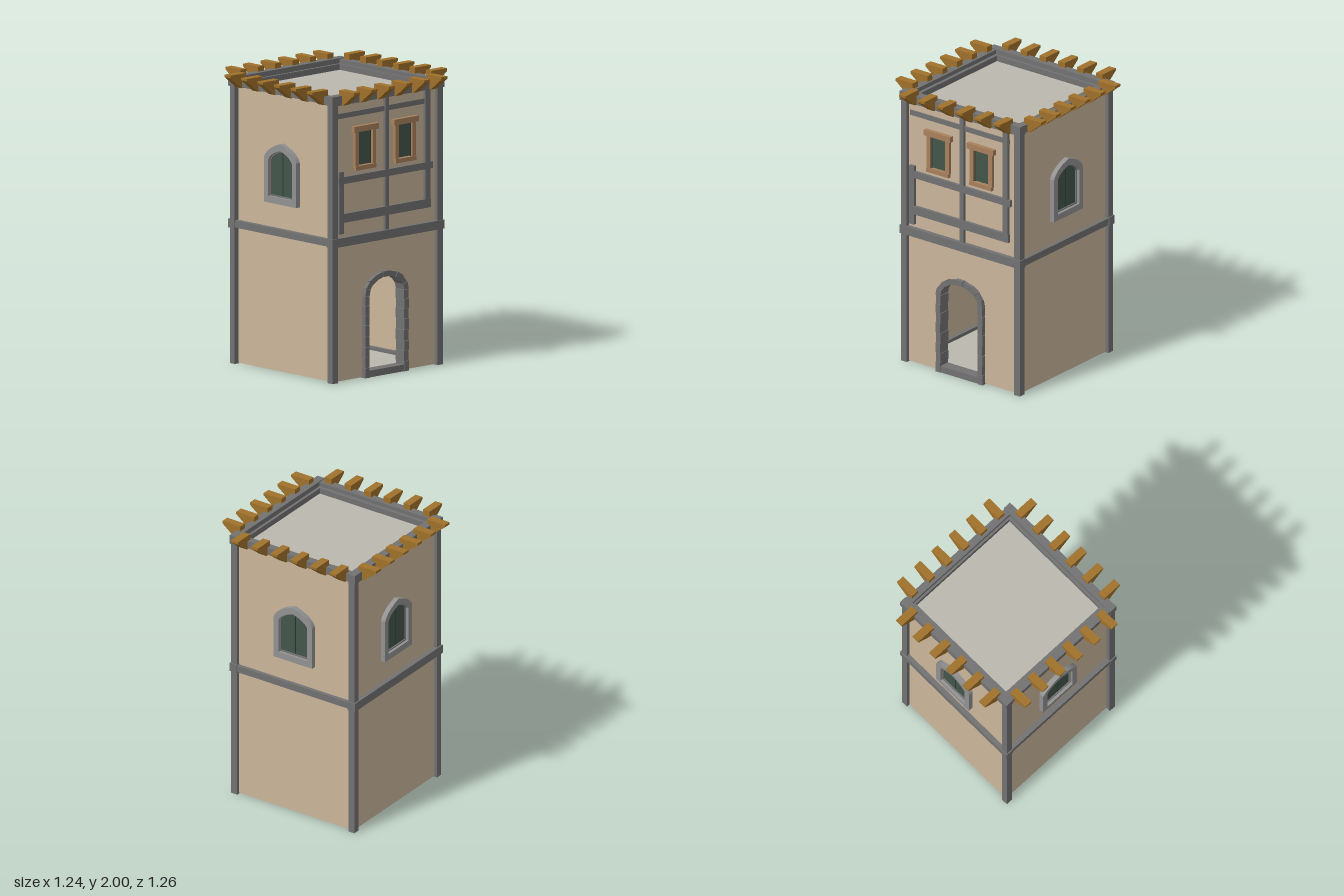
import * as THREE from 'three';

const mat = (name, color) => new THREE.MeshStandardMaterial({ name, color });

export function createModel() {
  const plaster = mat('plaster', 0xcbb69b);
  const timber = mat('grey timber', 0x727272);
  const stone = mat('window stone', 0x929292);
  const oak = mat('oak corbel', 0xa0712b);
  const wood = mat('window wood', 0xa9815c);
  const glass = mat('green shutter', 0x43564b);
  const seam = mat('dark seam', 0x2c3a33);
  const floorMat = mat('floor', 0xbbb8af);

  const tower = new THREE.Group();
  tower.name = 'tower';

  function add(parent, name, geometry, material) {
    const m = new THREE.Mesh(geometry, material);
    m.name = name;
    parent.add(m);
    return m;
  }
  // box given by its limits
  function box(name, material, x0, x1, y0, y1, z0, z1, parent = tower) {
    const g = new THREE.BoxGeometry(x1 - x0, y1 - y0, z1 - z0);
    g.translate((x0 + x1) / 2, (y0 + y1) / 2, (z0 + z1) / 2);
    return add(parent, name, g, material);
  }
  const group = (name, parent = tower) => {
    const g = new THREE.Group();
    g.name = name;
    parent.add(g);
    return g;
  };
  const extrude = (shape, depth, z) => {
    const g = new THREE.ExtrudeGeometry(shape, { depth, bevelEnabled: false, curveSegments: 8 });
    return g.translate(0, 0, z);
  };

  // --- walls, with an arched doorway through the front ---
  const doorX = -0.015, spring = 0.56;
  const OUT = 0.48, IN = 0.44;
  const front = new THREE.Shape();
  front.moveTo(-OUT, 0.005);
  front.lineTo(doorX - 0.18, 0.005);
  front.lineTo(doorX - 0.18, spring);
  front.absellipse(doorX, spring, 0.18, 0.135, Math.PI, 0, true);
  front.lineTo(doorX + 0.18, 0.005);
  front.lineTo(OUT, 0.005);
  front.lineTo(OUT, 1.92);
  front.lineTo(-OUT, 1.92);
  add(tower, 'frontWall', extrude(front, OUT - IN, IN), plaster);
  box('backWall', plaster, -OUT, OUT, 0.005, 1.92, -OUT, -IN);
  box('leftWall', plaster, IN, OUT, 0.005, 1.92, -IN, IN);
  box('rightWall', plaster, -OUT, -IN, 0.005, 1.92, -IN, IN);

  // --- floors and roof deck ---
  box('floorBase', plaster, -IN, IN, 0.005, 0.015, -IN, IN);
  box('groundFloor', floorMat, -IN, IN, 0.015, 0.022, -IN, IN);
  box('upperFloor', plaster, -IN, IN, 0.94, 0.97, -IN, IN);
  box('roofDeck', floorMat, -IN, IN, 1.87, 1.89, -IN, IN);

  // --- corner posts ---
  for (const [x0, x1] of [[-0.513, -0.465], [0.455, 0.503]])
    for (const [z0, z1] of [[-0.503, -0.455], [0.457, 0.506]])
      box('cornerPost', timber, x0, x1, 0, 1.93, z0, z1);

  // --- horizontal beam rings: belt, roof rim ---
  for (const [name, y0, y1] of [['beltBeam', 0.93, 0.99], ['rimBeam', 1.9, 1.965]]) {
    for (const s of [-1, 1]) {
      const z = s > 0 ? [0.455, 0.513] : [-0.513, -0.455];
      box(name, timber, -0.521, 0.511, y0, y1, ...z);
      const x = s > 0 ? [0.452, 0.506] : [-0.516, -0.46];
      box(name, timber, ...x, y0 + 0.006, y1 - 0.006, -0.455, 0.455);
    }
  }
  // inner ledge around the deck and sill beams round the ground floor
  for (const [name, a, b, y0, y1] of [
    ['rimLedge', 0.436, 0.462, 1.885, 1.93], ['baseBeam', 0.41, 0.455, 0, 0.045]]) {
    for (const s of [-1, 1]) {
      const lo = s > 0 ? a : -b, hi = s > 0 ? b : -a;
      box(name, timber, lo, hi, y0, y1, -b, b);
      // the doorway keeps its own threshold on the front side
      if (name === 'rimLedge' || s < 0) box(name, timber, -a, a, y0, y1, lo, hi);
    }
  }
  box('baseBeam', timber, -0.41, -0.2, 0, 0.045, 0.41, 0.455);
  box('baseBeam', timber, 0.17, 0.41, 0, 0.045, 0.41, 0.455);

  // --- tapered corbels on all four sides ---
  const profile = new THREE.Shape([
    [0.485, 1.9], [0.525, 1.9], [0.63, 1.983], [0.63, 2], [0.485, 2],
  ].map(p => new THREE.Vector2(...p)));
  const corbelGeo = extrude(profile, 0.056, -0.028); // points along +x
  const corbels = group('corbels');
  for (let i = 0; i < 6; i++) {
    const t = -0.405 + i * 0.161;
    for (const s of [-1, 1]) {
      const side = add(corbels, 'sideCorbel', corbelGeo, oak);
      side.rotation.y = s > 0 ? 0 : Math.PI;
      side.position.set(s > 0 ? -0.01 : 0.007, 0, t - 0.003);
      const end = add(corbels, 'endCorbel', corbelGeo, oak);
      end.rotation.y = -s * Math.PI / 2;
      end.position.x = t;
    }
  }

  // --- timber framing on the upper front ---
  const frame = group('timberFrame');
  for (const [x0, x1, y0, y1, z] of [
    [-0.018, 0.016, 0.98, 1.9, 0.498],
    [0.35, 0.395, 1.13, 1.9, 0.5],
    [-0.446, -0.405, 1.015, 1.44, 0.503],
    [-0.45, 0.415, 1.355, 1.402, 0.501],
    [-0.445, 0.4, 1.09, 1.15, 0.502],
    [-0.45, 0.4, 1.803, 1.838, 0.49],
  ]) box('frameTimber', timber, x0, x1, y0, y1, 0.47, z, frame);

  // --- small wooden windows on the front ---
  for (const cx of [-0.203, 0.165]) {
    const w = group('frontWindow');
    w.position.x = cx;
    box('pane', glass, -0.064, 0.064, 1.465, 1.69, 0.478, 0.484, w);
    for (const s of [-1, 1]) {
      box('jamb', wood, s * 0.08 - 0.016, s * 0.08 + 0.016, 1.455, 1.7, 0.47, 0.502, w);
      box('shutterEdge', seam, s * 0.061 - 0.003, s * 0.061 + 0.003, 1.46, 1.695, 0.48, 0.487, w);
    }
    box('lintel', wood, -0.113, 0.113, 1.695, 1.735, 0.47, 0.511, w);
    box('sill', wood, -0.094, 0.094, 1.432, 1.462, 0.47, 0.507, w);
  }

  // --- pointed arch windows on the other three sides ---
  function archPath(C, half, y0, ySpring, yTop) {
    const p = new C();
    p.moveTo(-half, y0);
    p.lineTo(half, y0);
    p.lineTo(half, ySpring);
    p.quadraticCurveTo(half * 0.85, ySpring + (yTop - ySpring) * 0.62, 0, yTop);
    p.quadraticCurveTo(-half * 0.85, ySpring + (yTop - ySpring) * 0.62, -half, ySpring);
    p.closePath();
    return p;
  }
  const surround = archPath(THREE.Shape, 0.158, 1.155, 1.46, 1.57);
  surround.holes.push(archPath(THREE.Path, 0.117, 1.2, 1.445, 1.522));
  const lining = archPath(THREE.Shape, 0.118, 1.199, 1.446, 1.523);
  lining.holes.push(archPath(THREE.Path, 0.11, 1.208, 1.442, 1.514));
  const surroundGeo = extrude(surround, 0.045, 0.47);
  const liningGeo = extrude(lining, 0.025, 0.47);
  const paneGeo = extrude(archPath(THREE.Shape, 0.113, 1.205, 1.443, 1.517), 0.006, 0.479);
  for (const [angle, x, z] of [
    [Math.PI / 2, 0, -0.008], [Math.PI, 0, 0], [-Math.PI / 2, 0, -0.008]]) {
    const w = group('archWindow');
    w.rotation.y = angle;
    w.position.set(x, 0, z);
    add(w, 'surround', surroundGeo, stone);
    add(w, 'lining', liningGeo, timber);
    add(w, 'shutters', paneGeo, glass);
    box('shutterSeam', seam, -0.003, 0.003, 1.21, 1.51, 0.482, 0.487, w);
  }

  // --- stone door surround ---
  const door = group('doorSurround');
  door.position.x = doorX;
  const courses = [0, 0.07, 0.14, 0.21, 0.285, 0.36, 0.43, 0.495, spring];
  for (const s of [-1, 1])
    for (let i = 0; i < courses.length - 1; i++) {
      const d = i % 2 ? 0.003 : 0;
      const a = 0.161 - d, b = 0.201 - d;
      box('jambStone', timber, s > 0 ? a : -b, s > 0 ? b : -a,
        courses[i], courses[i + 1] - 0.002, 0.425, 0.511 - d, door);
    }
  const N = 9;
  for (let i = 0; i < N; i++) {
    const a0 = (i / N) * Math.PI + 0.006, a1 = ((i + 1) / N) * Math.PI - 0.006;
    const d = i % 2 ? 0.003 : 0;
    const pt = (a, rx, ry) => new THREE.Vector2(Math.cos(a) * rx, spring + Math.sin(a) * ry);
    const v = new THREE.Shape([
      pt(a0, 0.16, 0.113), pt(a0, 0.201 - d, 0.152 - d),
      pt(a1, 0.201 - d, 0.152 - d), pt(a1, 0.16, 0.113)]);
    add(door, 'archStone', extrude(v, 0.085 - d, 0.425), timber);
  }
  box('threshold', timber, -0.161, 0.161, 0, 0.046, 0.425, 0.505, door);

  return tower;
}
